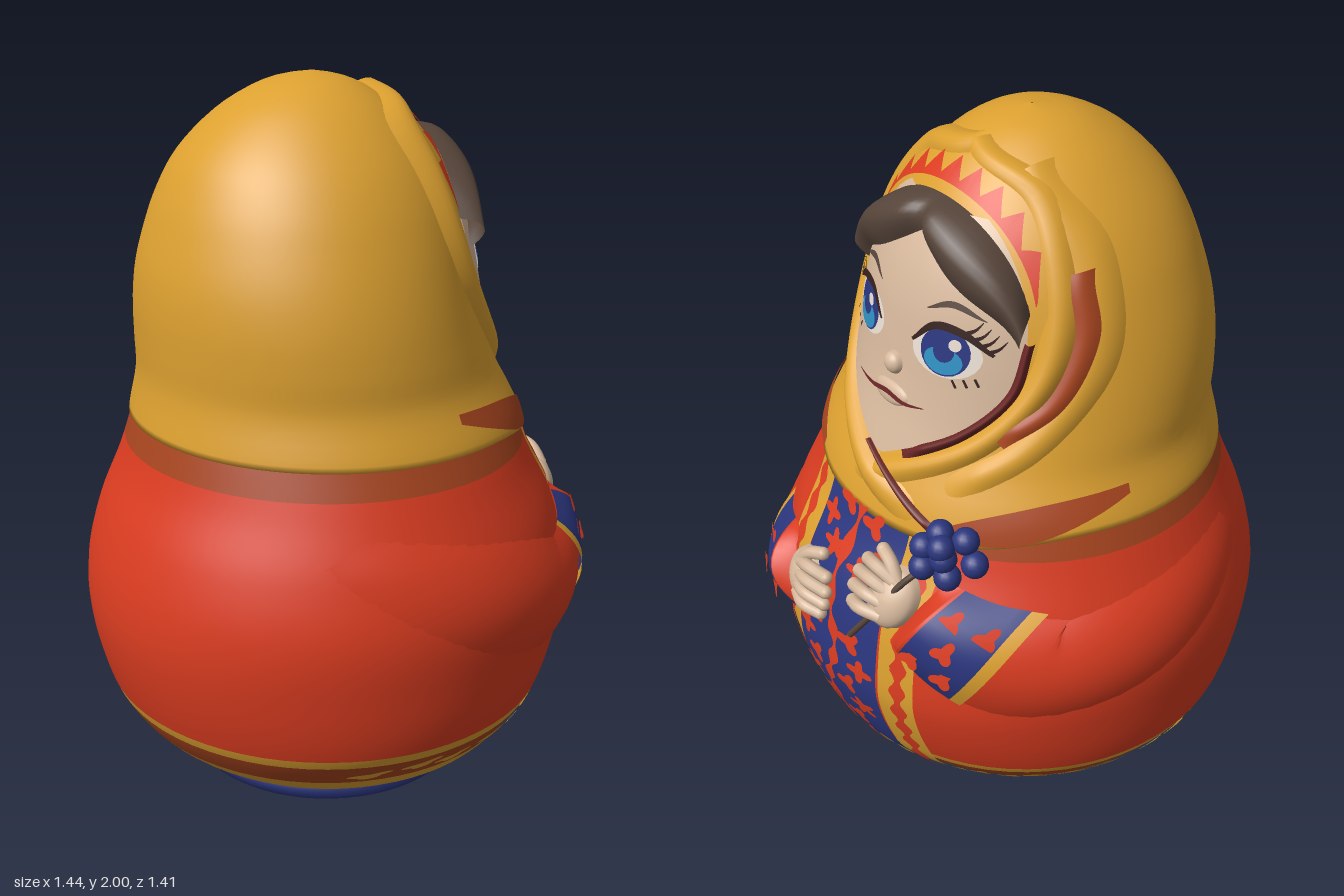
import * as THREE from 'three';

const colors = { yellow: 0xdca030, red: 0xda3c20, rust: 0xa8451f, navy: 0x2b367e, skin: 0xd6b89c,
  hair: 0x57453a, cyan: 0x2f8fc0, dark: 0x35201c, maroon: 0x6a2624, white: 0xe8ddd2 };
const M = {};
for (const k in colors) {
  M[k] = new THREE.MeshStandardMaterial({ color: colors[k], side: THREE.DoubleSide });
  M[k].name = k;
}

// cross-sections: y, back x, front x, half width in z (the doll faces +x)
const BODY = [[.09, -.40, .40, .40], [.10, -.47, .46, .47], [.14, -.54, .52, .55], [.2, -.60, .58, .60],
  [.3, -.655, .64, .66], [.5, -.70, .695, .695], [.65, -.695, .685, .70], [.8, -.655, .65, .665],
  [.95, -.59, .57, .605], [1.08, -.55, .52, .55], [1.2, -.51, .46, .5]];
const HOOD = [[.98, -.575, .565, .59], [1.09, -.555, .53, .568], [1.2, -.535, .47, .525], [1.3, -.535, .42, .515],
  [1.4, -.535, .385, .50], [1.5, -.525, .362, .475], [1.6, -.50, .342, .44], [1.7, -.465, .312, .395],
  [1.8, -.41, .265, .33], [1.9, -.31, .185, .235], [1.96, -.21, .10, .15], [1.988, -.13, .03, .08], [2.0, -.045, -.04, .003]];

// smooth interpolation of the cross-section table
function section(T, y) {
  let i = 0;
  while (i < T.length - 2 && y > T[i + 1][0]) i++;
  const p = T[i], q = T[i + 1], h = q[0] - p[0], t = THREE.MathUtils.clamp((y - p[0]) / h, 0, 1);
  const slope = (j, k) => {
    const a = T[Math.max(0, j - 1)], b = T[Math.min(T.length - 1, j + 1)];
    return (b[k] - a[k]) / (b[0] - a[0]);
  };
  return [1, 2, 3].map(k => {
    const t2 = t * t, t3 = t2 * t;
    return (2 * t3 - 3 * t2 + 1) * p[k] + (t3 - 2 * t2 + t) * h * slope(i, k) +
      (3 * t2 - 2 * t3) * q[k] + (t3 - t2) * h * slope(i + 1, k);
  });
}
function raw(T, a, y) {
  const [b, f, w] = section(T, y);
  return new THREE.Vector3((b + f) / 2 + (f - b) / 2 * Math.cos(a), y, w * Math.sin(a));
}
// point at angle a and height y, pushed out along the normal
function polar(T, a, y, off = 0) {
  const p = raw(T, a, y);
  if (!off) return p;
  const yy = Math.min(y, 1.99);
  const da = raw(T, a + .01, yy).sub(raw(T, a - .01, yy)), dy = raw(T, a, yy + .004).sub(raw(T, a, yy - .004));
  return p.addScaledVector(dy.cross(da).normalize(), off);
}
// same surface addressed by z; values beyond the edge wrap round the side
const onSurface = T => (z, y, off) => {
  const t = z / section(T, y)[2], s = Math.abs(t);
  return polar(T, Math.sign(t) * (s < .9 ? Math.asin(s) : 1.12 + (s - .9) * 2.3), y, off);
};
const onBody = onSurface(BODY), onHood = onSurface(HOOD);
const onFace = (z, y, off) => onHood(z, y, off + .012 + .035 * Math.max(0, 1 - (z / .32) ** 2 - ((y - 1.52) / .36) ** 2));

export function createModel() {
  const root = new THREE.Group();
  root.name = 'nestingDoll';
  const add = (name, geo, mat) => {
    const m = new THREE.Mesh(geo, mat);
    m.name = name;
    root.add(m);
    return m;
  };
  // grid surface from f(u, v) -> Vector3, wound to face outwards
  function grid(name, mat, f, nu, nv, wrap = false) {
    const pos = [], idx = [], n = wrap ? nu : nu + 1;
    for (let j = 0; j <= nv; j++) for (let i = 0; i < n; i++) pos.push(...f(i / nu, j / nv).toArray());
    for (let j = 0; j < nv; j++) for (let i = 0; i < nu; i++) {
      const a = j * n + i, b = j * n + (i + 1) % n;
      idx.push(a, b, a + n, b, b + n, a + n);
    }
    const g = new THREE.BufferGeometry();
    g.setAttribute('position', new THREE.Float32BufferAttribute(pos, 3));
    g.setIndex(idx);
    g.computeVertexNormals();
    const nr = g.attributes.normal;
    let s = 0;
    for (let i = 0; i < nr.count; i++) s += nr.getX(i) * pos[3 * i] + nr.getZ(i) * pos[3 * i + 2];
    if (s < 0) { g.setIndex(idx.reverse()); g.computeVertexNormals(); }
    return add(name, g, mat);
  }
  // oval, optionally lobed or domed, lying on a surface
  const disc = (name, mat, at, z, y, rz, ry, off = .006, { lobes = 0, amp = .3, bump = 0 } = {}) =>
    grid(name, mat, (u, v) => {
      const a = u * Math.PI * 2, r = v * (1 + (lobes ? amp * Math.cos(lobes * a) : 0));
      return at(z + rz * r * Math.cos(a), y + ry * r * Math.sin(a), off + bump * Math.sqrt(1 - v * v));
    }, lobes ? 32 : 24, bump ? 8 : 3, true);
  // band along a path of [z, y] points lying on a surface
  const curve = pts => new THREE.CatmullRomCurve3(pts.map(p => new THREE.Vector3(p[0], p[1], 0)));
  function ribbon(name, mat, at, pts, width, off, bump = () => 0, u0 = 0, u1 = 1, nu = 24, nv = 2) {
    const c = curve(pts);
    return grid(name, mat, (s, v) => {
      const u = u0 + (u1 - u0) * s, p = c.getPoint(u), t = c.getTangent(u), w = (v * 2 - 1) * width(u);
      return at(p.x - t.y * w, p.y + t.x * w, off + bump(u) * Math.sin(Math.PI * v));
    }, nu, nv);
  }

  // foot
  add('foot', new THREE.LatheGeometry([[0, 0], [.39, 0], [.415, .015], [.425, .045], [.415, .075], [.39, .095], [0, .1]]
    .map(p => new THREE.Vector2(...p)), 64), M.navy);

  // body in colour bands
  [['bodyUnderside', .09, .105, M.maroon], ['hemBorder', .105, .19, M.yellow], ['hemBand', .19, .265, M.rust],
    ['hemLine', .265, .295, M.yellow], ['coat', .295, 1.0, M.red], ['collarBand', 1.0, 1.2, M.rust]].forEach(([n, a, b, m]) =>
    grid(n, m, (u, v) => polar(BODY, u * Math.PI * 2, a + (b - a) * v), 72, Math.ceil((b - a) / .025), true));
  for (let i = 0; i < 18; i++) {
    const s = i % 2 ? 1 : -1, k = i >> 1;
    disc('hemSpot', M.yellow, onBody, s * (.33 + k * .055), .228 + (k % 2) * .012, .02, .014, .005, { lobes: 3 });
  }

  // hood, dipping at the front
  const hoodRows = [1.075, 1.075, 1.09, 1.11, 1.14, 1.17];
  for (let y = 1.2; y < 1.89; y += .025) hoodRows.push(y);
  hoodRows.push(1.9, 1.92, 1.94, 1.96, 1.974, 1.984, 1.992, 1.997, 2);
  const nh = hoodRows.length - 1;
  grid('headscarf', M.yellow, (u, v) => {
    const a = u * Math.PI * 2, j = Math.round(v * nh), y = hoodRows[j];
    const dip = .06 * Math.exp(-(((Math.cos(a) - 1) / .35) ** 2)) * Math.max(0, 1 - (y - 1.075) / .2);
    return polar(HOOD, a, y - dip, j === 0 ? -.03 : 0);
  }, 80, nh, true);

  // face
  const faceHalf = y => y < 1.5 ? .31 * Math.sin(Math.PI / 2 * Math.min(1, (y - 1.17) / .26))
    : .31 * Math.sqrt(Math.max(0, 1 - ((y - 1.5) / .36) ** 2));
  grid('face', M.skin, (u, v) => {
    const y = 1.18 + .64 * v;
    return onFace((u * 2 - 1) * faceHalf(y), y, 0);
  }, 24, 32);
  const arch = (z, top, w) => 1.5 + top * Math.sqrt(Math.max(0, 1 - (z / w) ** 2));
  grid('headband', M.yellow, (u, v) => {
    const z = (u * 2 - 1) * .325;
    return onHood(z, THREE.MathUtils.lerp(arch(z, .30, .33), arch(z, .44, .36), v), .014);
  }, 40, 5);
  grid('headbandZigzag', M.red, (u, v) => {
    const z = (u * 2 - 1) * .3, saw = Math.abs(((u * 9) % 1) * 2 - 1);
    return onHood(z, arch(z, .35, .325) + .012 + v * (.012 + .04 * (1 - saw)), .02);
  }, 90, 2);
  grid('hair', M.hair, (u, v) => {
    const s = u * 2 - 1, z = s * .295, top = arch(z, .34, .318);
    const thick = .085 + .06 * Math.sin(Math.PI * Math.abs(s));
    const notch = 1 - .45 * Math.exp(-((s / .08) ** 2));
    return onFace(z, top - thick * (1 - v), .055 * notch * Math.sin(Math.PI * v) - .004);
  }, 48, 10);
  for (const s of [1, -1]) {
    const z = s * .142;
    disc('eyeWhite', M.white, onFace, z, 1.505, .088, .066, .003);
    disc('iris', M.navy, onFace, z, 1.508, .062, .064, .005);
    disc('irisGlow', M.cyan, onFace, z, 1.485, .048, .036, .007);
    disc('pupil', M.navy, onFace, z, 1.512, .026, .03, .009);
    disc('eyeGlint', M.white, onFace, z - .025, 1.535, .015, .016, .011);
    const lid = [[z - s * .085, 1.515], [z - s * .03, 1.572], [z + s * .04, 1.568], [z + s * .11, 1.525]];
    ribbon('eyelid', M.dark, onFace, lid, u => .004 + .006 * Math.sin(Math.PI * u), .01);
    for (let i = 0; i < 4; i++) {
      const lz = z + s * (.045 + i * .018), ly = 1.572 - i * .013;
      ribbon('lash', M.dark, onFace, [[lz, ly], [lz + s * .018, ly + .012], [lz + s * .03, ly + .032]],
        u => .005 * (1 - u) + .001, .011, () => 0, 0, 1, 5, 1);
    }
    for (let i = 0; i < 3; i++) {
      const lz = z + s * (.03 + i * .025);
      ribbon('lowerLash', M.dark, onFace, [[lz, 1.442 + i * .008], [lz + s * .012, 1.422 + i * .008]], () => .003, .008, () => 0, 0, 1, 3, 1);
    }
    ribbon('eyebrow', M.hair, onFace, [[z - s * .06, 1.605], [z, 1.63], [z + s * .08, 1.605]], u => .007 * Math.sin(Math.PI * u) + .001, .006);
  }
  disc('nose', M.skin, onFace, 0, 1.42, .03, .034, -.004, { bump: .03 });
  disc('lips', M.skin, onFace, 0, 1.335, .065, .032, -.002, { bump: .014 });
  ribbon('mouth', M.maroon, onFace, [[.13, 1.335], [.06, 1.33], [0, 1.338], [-.06, 1.33], [-.12, 1.34]],
    u => .001 + .006 * Math.sin(Math.PI * u), .014);

  // scarf folds round the face, crossing under the chin
  const fold = (name, mat, pts, w, h, off = -.006) =>
    ribbon(name, mat, onHood, pts, u => w * (.7 + .5 * u), off, u => h * Math.min(1, (1 - u) * 8), 0, 1, 48, 8);
  const rim = s => [[0, 1.94], [s * .2, 1.87], [s * .33, 1.67], [s * .35, 1.46], [s * .26, 1.28]];
  fold('scarfRimRight', M.yellow, [...rim(-1), [-.06, 1.155], [.1, 1.1]], .036, .03);
  fold('scarfRimLeft', M.yellow, [...rim(1), [.06, 1.15], [-.2, 1.06]], .042, .036);
  fold('scarfInnerEdge', M.maroon, [[-.31, 1.56], [-.30, 1.42], [-.22, 1.3], [-.08, 1.2]], .014, .02, .012);
  fold('scarfCrossShadow', M.maroon, [[.03, 1.19], [-.1, 1.13], [-.25, 1.06]], .01, .012, .026);
  fold('scarfOuterFold', M.yellow, [[-.15, 1.92], [-.34, 1.74], [-.42, 1.5], [-.36, 1.28], [-.2, 1.14]], .04, .022);
  fold('scarfRustFold', M.rust, [[-.34, 1.72], [-.395, 1.56], [-.38, 1.4], [-.3, 1.3]], .018, .008, .016);
  for (const s of [1, -1])
    ribbon('scarfRustEdge', M.rust, onHood, [[s * .54, 1.16], [s * .42, 1.1], [s * .26, 1.06]],
      u => .045 * Math.sin(Math.PI * (u * .8 + .1)), .006, () => 0, 0, 1, 16, 3);

  // apron with side borders and floral pattern
  grid('apron', M.navy, (u, v) => onBody((u * 2 - 1) * (.185 - .02 * v), .16 + .89 * v, .006), 10, 40);
  for (const s of [1, -1]) {
    const stripe = (n, m, z, w, off) =>
      ribbon(n, m, onBody, [[s * z, .19], [s * z, .6], [s * (z - .02), 1.05]], w, off, () => 0, 0, 1, 60, 3);
    stripe('apronBorder', M.yellow, .235, () => .053, .005);
    stripe('apronBorderStripe', M.red, .245, u => .017 + .009 * Math.sin(u * 70), .009);
    [[.085, .28, 4], [.06, .36, 3], [.11, .44, 5], [.07, .52, 3], [.12, .59, 4], [.075, .67, 3], [.12, .93, 4], [.055, 1.0, 3], [.06, .87, 5]]
      .forEach(([z, y, l], i) => disc('apronFlower', M.red, onBody, s * z, y + s * .01, .03 + (i % 3) * .004, .028, .01, { lobes: l, amp: .4 }));
    for (let i = 0; i < 3; i++) disc('apronHemDot', M.yellow, onBody, s * (.03 + i * .055), .195 + (i % 2) * .02, .022, .014, .01, { lobes: 3 });
  }
  ribbon('apronStem', M.red, onBody, [[0, .28], [.02, .45], [-.02, .6], [.02, .78], [0, 1.03]], u => .014 + .009 * Math.sin(u * 45), .01, () => 0, 0, 1, 60, 2);

  // sleeves and cuffs
  for (const [side, pts] of [['left', [[.82, .88], [.71, .74], [.56, .61], [.40, .62], [.22, .71]]],
    ['right', [[-.82, .88], [-.71, .79], [-.57, .71], [-.42, .75], [-.25, .83]]]]) {
    const w = u => .11 + .05 * Math.sin(Math.PI * u), h = u => (.008 + .065 * u) * Math.min(1, (1 - u) * 20);
    const piece = (n, m, u0, u1, off) => ribbon(side + n, m, onBody, pts, w, off, h, u0, u1, 30, 12);
    piece('Sleeve', M.red, 0, 1, -.006);
    piece('CuffTrim', M.yellow, .68, .725, .003);
    piece('Cuff', M.navy, .725, .94, .003);
    piece('CuffEdge', M.red, .94, 1, .004);
    const c = curve(pts);
    for (const [u, k] of [[.77, .5], [.79, -.45], [.84, .05], [.89, .5], [.9, -.5]]) {
      const p = c.getPoint(u), t = c.getTangent(u);
      disc(side + 'CuffFlower', M.red, onBody, p.x - t.y * w(u) * k, p.y + t.x * w(u) * k,
        .022, .024, .009 + h(u) * Math.cos(k * Math.PI / 2), { lobes: 3, amp: .35 });
    }
  }

  // hands
  const tube = (name, mat, pts, r) => {
    const c = new THREE.CatmullRomCurve3(pts.map(p => onBody(...p)));
    add(name, new THREE.TubeGeometry(c, 12, r, 10), mat);
    add(name + 'Tip', new THREE.SphereGeometry(r, 10, 8), mat).position.copy(c.getPoint(1));
  };
  for (const [side, s, z, y] of [['left', 1, .145, .74], ['right', -1, -.185, .85]]) {
    disc(side + 'Palm', M.skin, onBody, z, y, .075, .085, -.004, { bump: .06 });
    for (let i = 0; i < 4; i++) {
      const d = i - 1.5;
      tube(side + 'Finger', M.skin, [[z, y + d * .03, .035], [z - s * .06, y + d * .036 + .01, .045],
        [z - s * (.125 - Math.abs(d) * .012), y + d * .037 + .005, .02]], .019);
    }
    tube(side + 'Thumb', M.skin, [[z + s * .02, y + .03, .03], [z - s * .03, y + .085, .035], [z - s * .07, y + .105, .025]], .019);
  }

  // berry sprig held in the right hand
  tube('sprigStem', M.hair, [[-.09, .7, .02], [-.15, .79, .03], [-.22, .92, .05], [-.28, 1.0, .03]], .009);
  [[-.28, 1.0, .05], [-.22, 1.01, .03], [-.25, 1.055, .03], [-.31, 1.05, .03], [-.345, .995, .03], [-.30, .95, .035], [-.235, .96, .035], [-.27, 1.03, .06]]
    .forEach(p => add('berry', new THREE.SphereGeometry(.037, 16, 12), M.navy).position.copy(onBody(...p)));

  return root;
}
